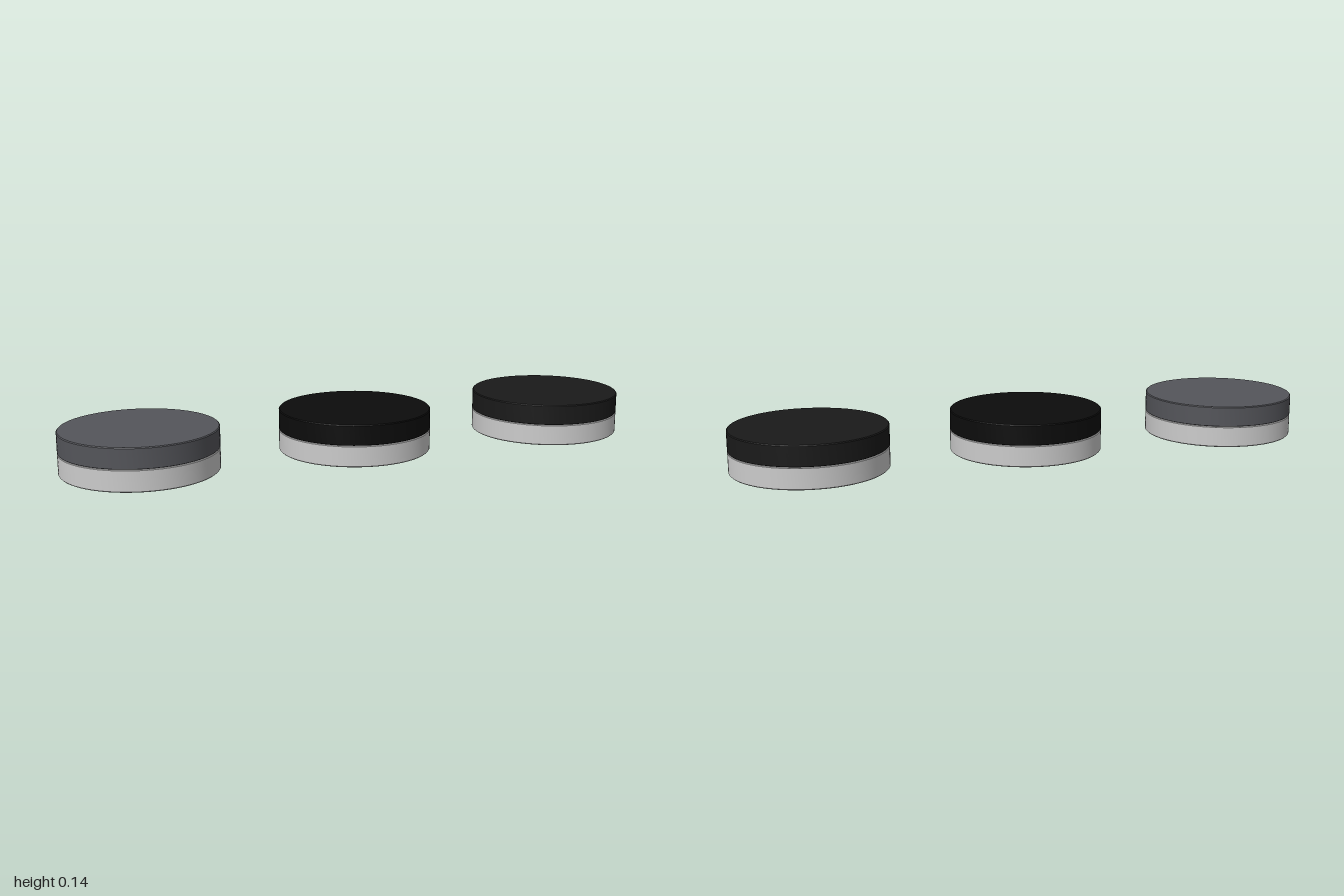
import * as THREE from 'three';
import { toCreasedNormals } from 'three/addons/utils/BufferGeometryUtils.js';

const RADIUS = 0.258;
const SPACING = 0.742;
const BEVEL = 0.003;

// Solid disc with a fine bevel on its top and bottom rims
function disc(name, radius, bottom, top, bevelBottom, bevelTop, material) {
  const profile = [
    [0, bottom],
    [radius - bevelBottom, bottom],
    [radius, bottom + bevelBottom],
    [radius, top - bevelTop],
    [radius - bevelTop, top],
    [0, top],
  ].map(([r, y]) => new THREE.Vector2(r, y));
  const geometry = toCreasedNormals(new THREE.LatheGeometry(profile, 96), 0.5);
  const mesh = new THREE.Mesh(geometry, material);
  mesh.name = name;
  return mesh;
}

export function createModel() {
  const model = new THREE.Group();
  model.name = 'discSet';
  const grey = new THREE.MeshStandardMaterial({ color: 0xcccccc });

  const variants = [
    ['rightDisc', -SPACING, 0x54555a],
    ['middleDisc', 0, 0x0c0c0c],
    ['leftDisc', SPACING, 0x1a1a1a],
  ];
  for (const [name, x, color] of variants) {
    const coloured = new THREE.MeshStandardMaterial({ color });
    const unit = new THREE.Group();
    unit.name = name;
    unit.position.x = x;
    unit.add(
      disc('base', RADIUS, 0, 0.07, BEVEL, 0.001, grey),
      // recessed seam between base and cap
      disc('neck', 0.246, 0.066, 0.077, 0.001, 0.001, coloured),
      disc('cap', RADIUS, 0.073, 0.141, 0.001, BEVEL, coloured),
    );
    model.add(unit);
  }
  return model;
}
